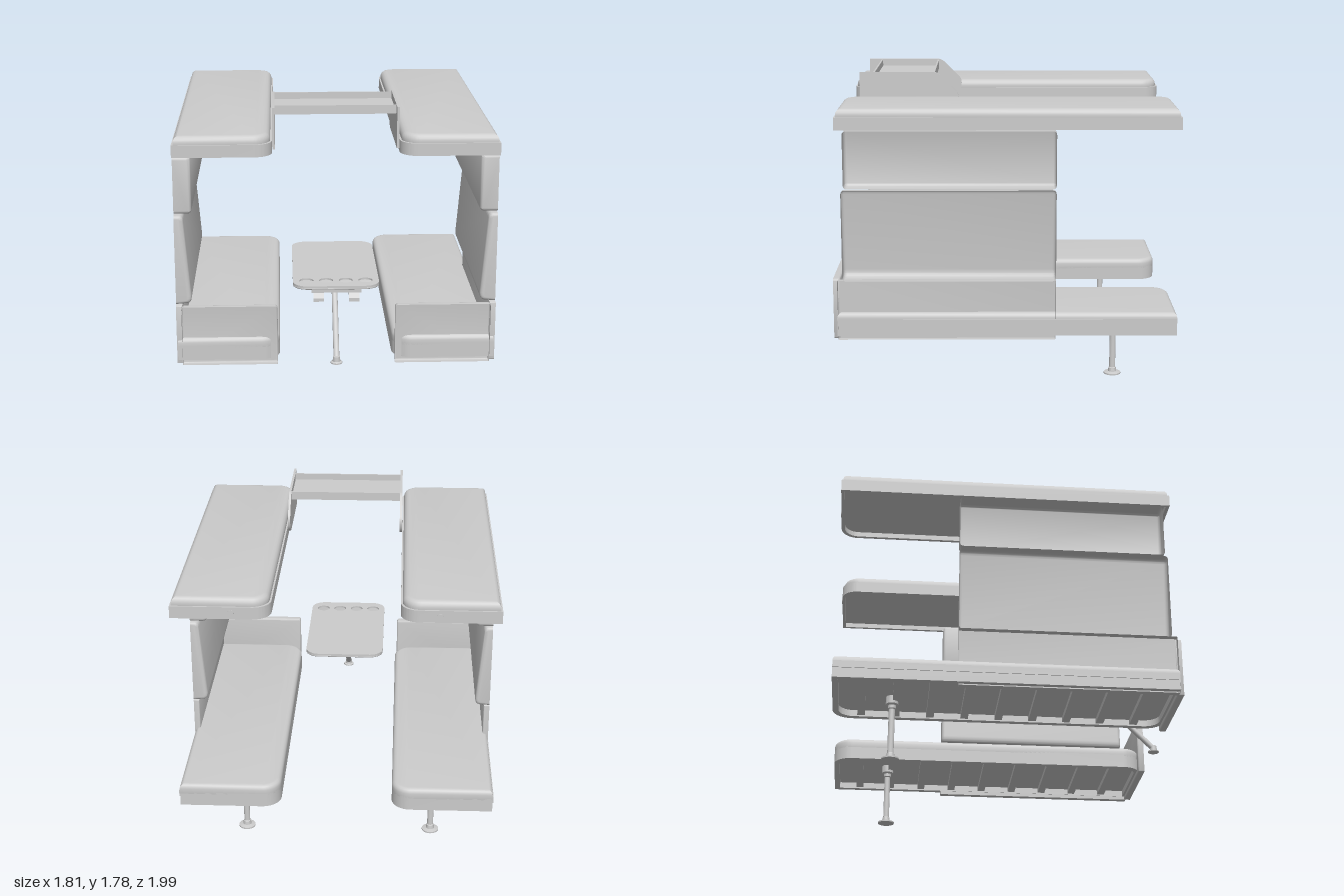
import * as THREE from 'three';
import { toCreasedNormals } from 'three/addons/utils/BufferGeometryUtils.js';

const mat = new THREE.MeshStandardMaterial({ color: 0xcccccc, side: THREE.DoubleSide });

// Rectangle with an individual radius per corner: [x0y0, x1y0, x1y1, x0y1]
function rect(x0, x1, y0, y1, r, Type = THREE.Shape) {
  const [a, b, c, d] = Array.isArray(r) ? r : [r, r, r, r];
  const s = new Type();
  s.moveTo(x0 + a, y0);
  s.lineTo(x1 - b, y0);
  if (b) s.absarc(x1 - b, y0 + b, b, -Math.PI / 2, 0);
  s.lineTo(x1, y1 - c);
  if (c) s.absarc(x1 - c, y1 - c, c, 0, Math.PI / 2);
  s.lineTo(x0 + d, y1);
  if (d) s.absarc(x0 + d, y1 - d, d, Math.PI / 2, Math.PI);
  s.lineTo(x0, y0 + a);
  if (a) s.absarc(x0 + a, y0 + a, a, Math.PI, Math.PI * 1.5);
  return s;
}

// Extrusion along z from z0 to z1 with a bevel kept inside the outline
function extrude(shape, z0, z1, bevel = 0) {
  const g = new THREE.ExtrudeGeometry(shape, {
    depth: z1 - z0 - 2 * bevel, bevelEnabled: bevel > 0, bevelSize: bevel,
    bevelThickness: bevel, bevelOffset: -bevel, bevelSegments: 4, curveSegments: 10,
  });
  g.translate(0, 0, z0 + bevel);
  return toCreasedNormals(g, 0.6);
}

// Horizontal slab: shape drawn in (x, -z), thickness from y0 to y1
const slab = (shape, y0, y1, bevel) => extrude(shape, y0, y1, bevel).rotateX(-Math.PI / 2);

// Open shell: drops the faces beyond a limit on one axis and trims the rest to it
function openShell(geo, axis, limit) {
  const p = geo.attributes.position;
  const idx = [];
  for (let i = 0; i < p.count; i += 3) {
    const outside = [i, i + 1, i + 2].every(k => p.getComponent(k, axis) > limit - 1e-4);
    if (!outside) idx.push(i, i + 1, i + 2);
  }
  for (let i = 0; i < p.count; i++)
    p.setComponent(i, axis, Math.min(p.getComponent(i, axis), limit));
  return geo.setIndex(idx).toNonIndexed();
}

function box(x0, x1, y0, y1, z0, z1) {
  return new THREE.BoxGeometry(x1 - x0, y1 - y0, z1 - z0)
    .translate((x0 + x1) / 2, (y0 + y1) / 2, (z0 + z1) / 2);
}

function lathe(points, segments = 20) {
  const g = new THREE.LatheGeometry(points.map(p => new THREE.Vector2(...p)), segments);
  return toCreasedNormals(g, 0.6);
}

// Mirror across x = 0 with the winding restored
function mirrored(geo) {
  const g = geo.clone();
  const n = g.attributes.position.count;
  const idx = g.index ? Array.from(g.index.array) : Array.from({ length: n }, (_, i) => i);
  for (let i = 0; i < idx.length; i += 3) [idx[i], idx[i + 1]] = [idx[i + 1], idx[i]];
  g.setIndex(idx);
  return g.scale(-1, 1, 1);
}

export function createModel() {
  const model = new THREE.Group();
  const sides = { left: new THREE.Group(), right: new THREE.Group() };
  for (const k in sides) { sides[k].name = k + 'Unit'; model.add(sides[k]); }

  const add = (name, geo, parent = model) => {
    const m = new THREE.Mesh(geo, mat);
    m.name = name;
    parent.add(m);
    return m;
  };
  const pair = (name, geo) => {
    add(name, geo, sides.left);
    add(name, mirrored(geo), sides.right);
  };
  // Bed outline, rounded on the aisle side; z is negated for slab()
  const bed = (xi, xo, z0, z1, r, T) => rect(xi, xo, -z1, -z0, [r, 0, 0, r], T);
  const wall = 0.907;

  // Upper bunks: hollow rim, deck and mattress
  const bunkRim = bed(0.355, wall, -0.995, 0.94, 0.1);
  bunkRim.holes.push(bed(0.375, 0.888, -0.975, 0.92, 0.085, THREE.Path));
  pair('bunkFrame', slab(bunkRim, 1.53, 1.6));
  pair('bunkDeck', slab(bed(0.372, 0.89, -0.978, 0.923, 0.085), 1.56, 1.598));
  pair('bunkMattress', slab(bed(0.365, 0.897, -0.985, 0.93, 0.1), 1.562, 1.648, 0.035));
  pair('bunkLatch', new THREE.CylinderGeometry(0.018, 0.018, 0.012, 20)
    .rotateX(Math.PI / 2).translate(0.57, 1.565, -0.994));

  // Wall cushions, open towards the wall
  const over = 0.02;
  const upper = rect(0.807, wall + over, 1.195, 1.523, [0.022, 0, 0, 0.022]);
  pair('upperCushion', openShell(extrude(upper, -0.3, 0.895, over), 0, wall));
  const back = new THREE.Shape();
  back.moveTo(wall + over, 0.664);
  back.lineTo(0.845, 0.67);
  back.quadraticCurveTo(0.817, 0.673, 0.819, 0.715);
  back.lineTo(0.855, 1.16);
  back.quadraticCurveTo(0.858, 1.185, 0.88, 1.188);
  back.lineTo(wall + over, 1.188);
  pair('backrest', openShell(extrude(back, -0.3, 0.91, over), 0, wall));

  // Lower side panel, open outwards, with the bench running through it
  const side = rect(0.872, wall + 0.006, 0.32, 0.668, 0);
  pair('sidePanel', openShell(extrude(side, -0.3, 0.94, 0.006), 0, wall));

  // Bench: one flush block of rim and cushion, with a deck and slats underneath
  const benchRim = bed(0.322, 0.902, -0.993, 0.945, 0.11);
  benchRim.holes.push(bed(0.355, 0.87, -0.96, 0.915, 0.085, THREE.Path));
  pair('benchFrame', slab(benchRim, 0.342, 0.425));
  pair('benchDeck', slab(bed(0.35, 0.875, -0.965, 0.92, 0.085), 0.38, 0.395));
  pair('seatCushion', slab(bed(0.322, 0.902, -0.993, 0.945, 0.11), 0.388, 0.475, 0.028));
  pair('benchRail', box(0.898, wall, 0.4, 0.44, -0.993, 0.94));
  for (let i = 0; i < 9; i++) {
    const z = -0.83 + i * 0.2;
    pair('benchSlat', box(0.35, 0.875, 0.35, 0.382, z - 0.022, z + 0.022));
  }

  // Front end panel: a shallow tray facing forwards
  const end = rect(0.333, 0.875, 0.32, 0.67, [0.006, 0.006, 0.015, 0.015]);
  pair('endPanel', openShell(extrude(end, 0.928, 0.977, 0.01), 2, 0.967));

  // Bench legs
  const legProfile = [[0, 0], [0.05, 0], [0.05, 0.008], [0.025, 0.014], [0.022, 0.036], [0.018, 0.04],
    [0.018, 0.305], [0.023, 0.31], [0.023, 0.328], [0.036, 0.335], [0.036, 0.381], [0, 0.381]];
  pair('benchLeg', lathe(legProfile).translate(0.557, 0, -0.655));

  // Overhead shelf: side plates, board and lips
  const plate = new THREE.Shape();
  plate.moveTo(-0.84, 1.55);
  plate.lineTo(-0.84, 1.785);
  plate.lineTo(-0.41, 1.785);
  plate.quadraticCurveTo(-0.385, 1.785, -0.365, 1.765);
  plate.lineTo(-0.275, 1.675);
  plate.quadraticCurveTo(-0.258, 1.655, -0.258, 1.63);
  plate.quadraticCurveTo(-0.265, 1.555, -0.34, 1.55);
  pair('shelfSidePlate', extrude(plate, 0.339, 0.353).rotateY(Math.PI / 2));
  const shelf = new THREE.Group();
  shelf.name = 'overheadShelf';
  model.add(shelf);
  add('shelfBoard', box(-0.34, 0.34, 1.73, 1.742, 0.4, 0.765), shelf);
  for (const z of [0.4, 0.755])
    add('shelfLip', box(-0.34, 0.34, 1.73, 1.78, z, z + 0.01), shelf);

  // Table: base plate plus a top plate with four cup recesses
  const table = new THREE.Group();
  table.name = 'table';
  model.add(table);
  const top = rect(-0.245, 0.245, -0.965, -0.14, 0.085);
  add('tableBase', slab(top.clone(), 0.765, 0.776, 0.004), table);
  for (const x of [-0.168, -0.056, 0.056, 0.168])
    top.holes.push(new THREE.Path().absarc(x, -0.865, 0.04, 0, Math.PI * 2, true));
  add('tableTop', slab(top, 0.774, 0.786), table);

  // Table mounting plate and slanted hook brackets
  add('tableMount', box(-0.14, 0.14, 0.742, 0.766, 0.89, 0.95), table);
  const hook = new THREE.Shape([[-0.9, 0.745], [-0.945, 0.745], [-0.968, 0.715], [-0.968, 0.695],
    [-0.955, 0.695], [-0.93, 0.725]].map(p => new THREE.Vector2(...p)));
  for (const s of [-1, 1])
    add('tableBracket', extrude(hook, s * 0.1 - 0.03, s * 0.1 + 0.03).rotateY(Math.PI / 2), table);
  add('legHinge', box(-0.04, 0.04, 0.735, 0.766, 0.51, 0.6), table);

  // Slanted table leg with foot
  const foot = new THREE.Vector3(0, 0.345, 0.96), head = new THREE.Vector3(0, 0.75, 0.555);
  const dir = head.clone().sub(foot);
  const leg = add('tableLeg', new THREE.CylinderGeometry(0.017, 0.017, dir.length(), 16), table);
  leg.position.copy(foot).addScaledVector(dir, 0.5);
  leg.quaternion.setFromUnitVectors(new THREE.Vector3(0, 1, 0), dir.normalize());
  add('tableFoot', lathe([[0, 0], [0.033, 0], [0.033, 0.007], [0.022, 0.012], [0.02, 0.04], [0, 0.044]])
    .translate(0, 0.32, 0.96), table);

  return model;
}
